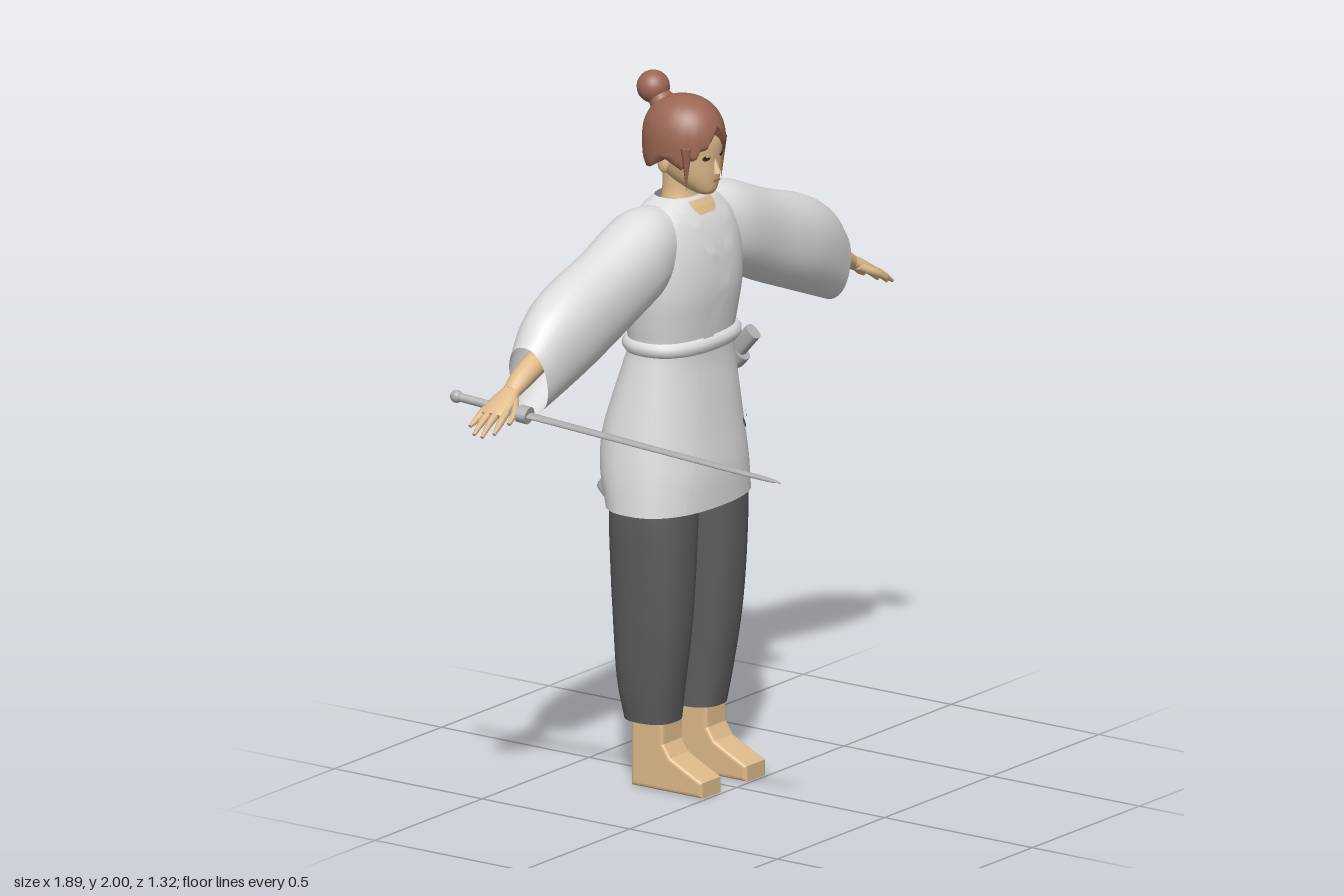
import * as THREE from 'three';
import { mergeVertices } from 'three/addons/utils/BufferGeometryUtils.js';

const V = (x, y, z) => new THREE.Vector3(x, y, z);
const material = (name, color, side = THREE.FrontSide) => {
  const m = new THREE.MeshStandardMaterial({ color, side });
  m.name = name;
  return m;
};
const cloth = material('white cloth', 0xdedede, THREE.DoubleSide);
const trouser = material('dark grey cloth', 0x5e5e5e, THREE.DoubleSide);
const skin = material('skin', 0xdfba8a);
const hairMat = material('brown hair', 0x9c6754, THREE.DoubleSide);
const steel = material('grey metal', 0xb0b0b0);
const dark = material('dark brown', 0x3a2a24, THREE.DoubleSide);
const lip = material('lips', 0xb87a62, THREE.DoubleSide);

function add(parent, name, geometry, mat) {
  const mesh = new THREE.Mesh(geometry, mat);
  mesh.name = name;
  parent.add(mesh);
  return mesh;
}

// Smooth skin over rows of [centre, half axis u, half axis v]; p is the superellipse power
function loft(rows, { p = 2, n = 32, sub = 4, cap = true } = {}) {
  const curves = [0, 1, 2].map(k => new THREE.CatmullRomCurve3(rows.map(r => r[k]), false, 'catmullrom', 0.5));
  const steps = (rows.length - 1) * sub, pos = [], index = [];
  const pw = a => Math.sign(a) * Math.abs(a) ** (2 / p);
  const flip = rows[0][1].clone().cross(rows[0][2]).dot(rows.at(-1)[0].clone().sub(rows[0][0])) < 0;
  const tri = (a, b, c) => (flip ? index.push(a, c, b) : index.push(a, b, c));
  for (let i = 0; i <= steps; i++) {
    const [c, u, v] = curves.map(k => k.getPoint(i / steps));
    for (let j = 0; j < n; j++) {
      const a = (j / n) * Math.PI * 2;
      pos.push(...c.clone().addScaledVector(u, pw(Math.cos(a))).addScaledVector(v, pw(Math.sin(a))).toArray());
      if (i < steps) {
        const q = i * n + j, r = i * n + (j + 1) % n;
        tri(q, r, q + n);
        tri(r, r + n, q + n);
      }
    }
  }
  if (cap) [0, steps].forEach((s, k) => {
    // separate cap ring keeps the end edge sharp
    const base = pos.length / 3;
    pos.push(...pos.slice(s * n * 3, (s + 1) * n * 3), ...curves[0].getPoint(k).toArray());
    for (let j = 0; j < n; j++) {
      const a = base + j, b = base + (j + 1) % n;
      k ? tri(a, b, base + n) : tri(b, a, base + n);
    }
  });
  const g = new THREE.BufferGeometry();
  g.setAttribute('position', new THREE.Float32BufferAttribute(pos, 3));
  g.setIndex(index);
  g.computeVertexNormals();
  return g;
}

// Upright section from height, x range and z range
const section = ([y, x0, x1, zf, zb]) =>
  [V((x0 + x1) / 2, y, (zf + zb) / 2), V((x1 - x0) / 2, 0, 0), V(0, 0, (zf - zb) / 2)];

// Robe profile: height, half width, front z, back z
const robe = [
  [0.8, 0.245, -0.045, -0.345], [0.9, 0.238, -0.045, -0.372], [1.0, 0.225, -0.055, -0.372],
  [1.1, 0.207, -0.065, -0.345], [1.2, 0.187, -0.075, -0.312], [1.26, 0.178, -0.075, -0.297],
  [1.33, 0.19, -0.066, -0.302], [1.42, 0.204, -0.056, -0.312], [1.52, 0.205, -0.064, -0.312],
  [1.6, 0.19, -0.088, -0.29], [1.645, 0.14, -0.115, -0.265], [1.67, 0.075, -0.135, -0.25],
];
const ROBE_P = 2.4;

// Front surface depth of the robe, for laying thin details on it
function robeZ(x, y) {
  let i = 0;
  while (i < robe.length - 2 && robe[i + 1][0] < y) i++;
  const a = robe[i], b = robe[i + 1], t = (y - a[0]) / (b[0] - a[0]);
  const [rx, f, k] = [1, 2, 3].map(j => a[j] + (b[j] - a[j]) * t);
  const e = Math.max(0, 1 - Math.min(1, Math.abs(x / rx)) ** ROBE_P) ** (1 / ROBE_P);
  return (f + k) / 2 + ((f - k) / 2) * e + 0.006;
}

// Band following the robe front through points [x, y, width]
function strip(points) {
  const g = new THREE.PlaneGeometry(1, 1, 6, 24), pos = g.attributes.position;
  const path = new THREE.CatmullRomCurve3(points.map(p => V(...p)));
  for (let i = 0; i < pos.count; i++) {
    const c = path.getPoint(0.5 - pos.getY(i)), x = c.x + pos.getX(i) * c.z;
    pos.setXYZ(i, x, c.y, robeZ(x, c.y));
  }
  g.computeVertexNormals();
  return g;
}

function buildHead() {
  const head = new THREE.Group();
  head.name = 'head';
  add(head, 'neck', loft([
    [1.58, -0.075, 0.075, -0.12, -0.25], [1.64, -0.06, 0.06, -0.135, -0.245],
    [1.69, -0.05, 0.05, -0.145, -0.24], [1.76, -0.05, 0.05, -0.14, -0.24]].map(section)), skin);
  add(head, 'face', loft([
    [1.682, -0.022, 0.022, -0.085, -0.125], [1.695, -0.04, 0.04, -0.077, -0.16],
    [1.73, -0.066, 0.066, -0.073, -0.22], [1.78, -0.082, 0.082, -0.072, -0.26],
    [1.84, -0.088, 0.088, -0.072, -0.27], [1.9, -0.065, 0.065, -0.1, -0.25]].map(section), { p: 2.2 }), skin);
  const nose = add(head, 'nose', new THREE.ConeGeometry(0.013, 0.05, 8), skin);
  nose.position.set(0, 1.767, -0.071);
  nose.rotation.x = -0.2;
  const mouth = add(head, 'mouth', new THREE.CircleGeometry(0.017, 16), lip);
  mouth.scale.y = 0.3;
  mouth.position.set(0, 1.722, -0.068);

  // hair cap with a parted fringe, open over the ears; pairs of angle from front and lower edge
  const edge = [[0, 1.865], [0.25, 1.84], [0.45, 1.8], [0.55, 1.815], [0.75, 1.77], [0.85, 1.79],
    [1.05, 1.745], [1.3, 1.79], [1.7, 1.79], [2.0, 1.745], [Math.PI, 1.725]];
  const cap = new THREE.SphereGeometry(1, 64, 20);
  cap.deleteAttribute('uv');
  cap.deleteAttribute('normal');
  const hair = mergeVertices(cap), pos = hair.attributes.position;
  for (let i = 0; i < pos.count; i++) {
    const a = Math.atan2(pos.getX(i), pos.getZ(i)), b = Math.abs(a);
    const k = Math.max(1, edge.findIndex(e => e[0] >= b - 1e-6));
    const [a0, y0] = edge[k - 1], [a1, y1] = edge[k];
    const low = y0 + (y1 - y0) * (b - a0) / (a1 - a0);
    const t = Math.acos(THREE.MathUtils.clamp(pos.getY(i), -1, 1)) / Math.PI;
    const s = Math.cos(t * Math.acos((low - 1.83) / 0.118));
    const p = s < 0 ? 3.5 : 2.2, r = Math.max(0, 1 - Math.abs(s) ** p) ** (1 / p);
    pos.setXYZ(i, Math.sin(a) * r * 0.105, 1.83 + s * 0.118, -0.179 + Math.cos(a) * r * 0.12);
  }
  hair.computeVertexNormals();
  add(head, 'hair', hair, hairMat);
  const bun = add(head, 'hairBun', new THREE.SphereGeometry(0.046, 24, 16), hairMat);
  bun.position.set(0, 1.954, -0.283);
  add(head, 'bunBase', loft([
    [V(0, 1.895, -0.235), V(0.045, 0, 0), V(0, 0.03, 0.03)],
    [V(0, 1.94, -0.272), V(0.03, 0, 0), V(0, 0.02, 0.02)]], { n: 16 }), hairMat);

  for (const s of [1, -1]) {
    const eye = add(head, 'eye', new THREE.CircleGeometry(0.014, 16), dark);
    eye.scale.y = 0.5;
    eye.position.set(s * 0.035, 1.79, -0.078);
    eye.rotation.y = s * 0.3;
    const ear = add(head, 'ear', new THREE.SphereGeometry(0.024, 12, 10), skin);
    ear.scale.set(0.45, 1.15, 0.8);
    ear.position.set(s * 0.087, 1.772, -0.185);
    const lock = add(head, 'sideLock', new THREE.ConeGeometry(0.016, 0.12, 8), hairMat);
    lock.rotation.x = Math.PI;
    lock.position.set(s * 0.082, 1.765, -0.112);
  }
  return head;
}

function buildArm(s) {
  const arm = new THREE.Group();
  arm.name = s > 0 ? 'leftArm' : 'rightArm';
  // sleeve rows: top x, top y, bottom x, bottom y, half depth
  const rows = [[0.1, 1.655, 0.14, 1.42, 0.09], [0.21, 1.658, 0.215, 1.39, 0.105],
    [0.39, 1.588, 0.34, 1.335, 0.1], [0.56, 1.532, 0.48, 1.28, 0.1],
    [0.665, 1.47, 0.59, 1.237, 0.085], [0.73, 1.395, 0.685, 1.2, 0.063]];
  add(arm, 'sleeve', loft(rows.map(([tx, ty, bx, by, d]) =>
    [V(s * (tx + bx) / 2, (ty + by) / 2, -0.192), V(s * (tx - bx) / 2, (ty - by) / 2, 0), V(0, 0, d)]),
  { p: 2.2, cap: false }), cloth);
  // limb pieces: x, y, z, half thickness, half depth
  const limb = (name, list, n) => add(arm, name, loft(list.map(([x, y, z, t, d]) =>
    [V(s * x, y, z), V(s * t * 0.5, t * 0.87, 0), V(0, 0, d)]), { n }), skin);
  limb('forearm', [[0.58, 1.38, -0.192, 0.036, 0.036], [0.72, 1.32, -0.192, 0.032, 0.034],
    [0.79, 1.283, -0.192, 0.021, 0.027]], 16);
  limb('palm', [[0.785, 1.286, -0.192, 0.02, 0.026], [0.82, 1.268, -0.192, 0.019, 0.038],
    [0.865, 1.245, -0.192, 0.015, 0.043], [0.88, 1.237, -0.192, 0.01, 0.04]], 16);
  [[-0.157, -0.148, 0.93], [-0.181, -0.178, 0.945], [-0.204, -0.207, 0.942], [-0.226, -0.236, 0.92]]
    .forEach(([z0, z1, x]) => limb('finger', [[0.86, 1.247, z0, 0.011, 0.011],
      [(0.86 + x) / 2, 1.226, (z0 + z1) / 2, 0.01, 0.01], [x, 1.247 - (x - 0.86) * 0.64, z1, 0.005, 0.005]], 8));
  limb('thumb', [[0.8, 1.272, -0.17, 0.012, 0.012], [0.84, 1.248, -0.142, 0.011, 0.011],
    [0.88, 1.222, -0.134, 0.006, 0.006]], 8);
  return arm;
}

function buildLeg(s) {
  const leg = new THREE.Group();
  leg.name = s > 0 ? 'leftLeg' : 'rightLeg';
  const rows = [[0.92, 0.0, 0.2, -0.08, -0.32], [0.8, 0.008, 0.222, -0.075, -0.32],
    [0.62, 0.02, 0.216, -0.078, -0.316], [0.45, 0.028, 0.205, -0.09, -0.31],
    [0.3, 0.032, 0.192, -0.112, -0.303], [0.19, 0.033, 0.176, -0.13, -0.285]];
  add(leg, 'trouserLeg', loft(rows.map(([y, a, b, f, k]) =>
    section([y, Math.min(s * a, s * b), Math.max(s * a, s * b), f, k])), { p: 2.4 }), trouser);
  // foot side profile in (z, y)
  const side = new THREE.Shape([[-0.24, 0.01], [-0.02, 0.01], [-0.02, 0.038], [-0.07, 0.062], [-0.125, 0.09],
    [-0.152, 0.13], [-0.155, 0.24], [-0.24, 0.24]].map(p => new THREE.Vector2(...p)));
  const foot = new THREE.ExtrudeGeometry(side, { depth: 0.076, bevelSize: 0.01, bevelThickness: 0.01, bevelSegments: 3 });
  foot.translate(0, 0, -0.038).rotateY(-Math.PI / 2).translate(s * 0.103, 0, 0);
  add(leg, 'foot', foot, skin);
  return leg;
}

function buildSword() {
  const sword = new THREE.Group();
  sword.name = 'sword';
  const row = (z, w, t) => [V(0, 0, z), V(w, 0, 0), V(0, t, 0)];
  add(sword, 'blade', loft([row(0.2, 0.021, 0.007), row(0.6, 0.018, 0.006), row(0.94, 0.014, 0.005),
    row(1.004, 0.002, 0.001)], { n: 8 }), steel);
  add(sword, 'grip', loft([row(0, 0.012, 0.012), row(0.21, 0.013, 0.013)], { n: 16 }), steel);
  add(sword, 'pommel', new THREE.SphereGeometry(0.018, 16, 12), steel);
  add(sword, 'guard', loft([row(0.195, 0.03, 0.024), row(0.225, 0.03, 0.024)], { n: 16 }), steel);
  sword.position.set(-0.86, 1.265, -0.325);
  sword.lookAt(-0.705, 1.15, 0.655);
  return sword;
}

function buildScabbard() {
  const scabbard = new THREE.Group();
  scabbard.name = 'scabbard';
  const a = V(0.215, 1.235, -0.1), b = V(0.264, 0.672, -0.63);
  const row = (t, w, h) => [a.clone().lerp(b, t), V(w, 0, 0), V(0, 0.68 * h, -0.73 * h)];
  const piece = (name, list) => add(scabbard, name, loft(list, { p: 3, n: 24 }), steel);
  piece('sheath', [row(0.12, 0.019, 0.037), row(0.5, 0.019, 0.039), row(0.96, 0.019, 0.04), row(1, 0.016, 0.03)]);
  piece('mouth', [row(0, 0.019, 0.024), row(0.14, 0.019, 0.026)]);
  piece('collar', [row(0.1, 0.024, 0.042), row(0.15, 0.024, 0.042)]);
  return scabbard;
}

export function createModel() {
  const model = new THREE.Group();
  model.name = 'swordsman';
  add(model, 'robe', loft(robe.map(([y, r, f, k]) => section([y, -r - 0.004, r - 0.004, f, k])),
    { p: ROBE_P, n: 48, cap: false }), cloth);
  // neckline, crossed collar and overlapping front edge
  add(model, 'chest', strip([[0, 1.662, 0.1], [0, 1.645, 0.1], [0, 1.625, 0.07]]), skin);
  add(model, 'leftCollar', strip([[0.085, 1.65, 0.04], [0.05, 1.54, 0.045], [0.01, 1.42, 0.045], [-0.04, 1.28, 0.045]]), cloth);
  add(model, 'rightCollar', strip([[-0.085, 1.65, 0.03], [-0.045, 1.56, 0.035], [-0.005, 1.46, 0.03]]), cloth);
  add(model, 'frontOverlap', strip([[-0.1, 1.22, 0.05], [-0.13, 1.02, 0.05], [-0.18, 0.805, 0.05]]), cloth);
  [[0.13, 1.0], [0.175, 1.012]].forEach(([x, y]) =>
    add(model, 'tear', strip([[x - 0.008, y + 0.015, 0.008], [x, y, 0.016], [x + 0.01, y - 0.015, 0.006]]), trouser));
  // belt
  const loop = Array.from({ length: 24 }, (_, i) => {
    const t = (i / 24) * Math.PI * 2, q = v => Math.sign(v) * Math.abs(v) ** (2 / ROBE_P);
    return V(q(Math.cos(t)) * 0.172, 1.262, -0.186 + q(Math.sin(t)) * 0.107);
  });
  add(model, 'belt', new THREE.TubeGeometry(new THREE.CatmullRomCurve3(loop, true), 72, 0.024, 10, true), cloth);
  for (const s of [1, -1]) model.add(buildArm(s), buildLeg(s));
  model.add(buildHead(), buildSword(), buildScabbard());
  return model;
}
